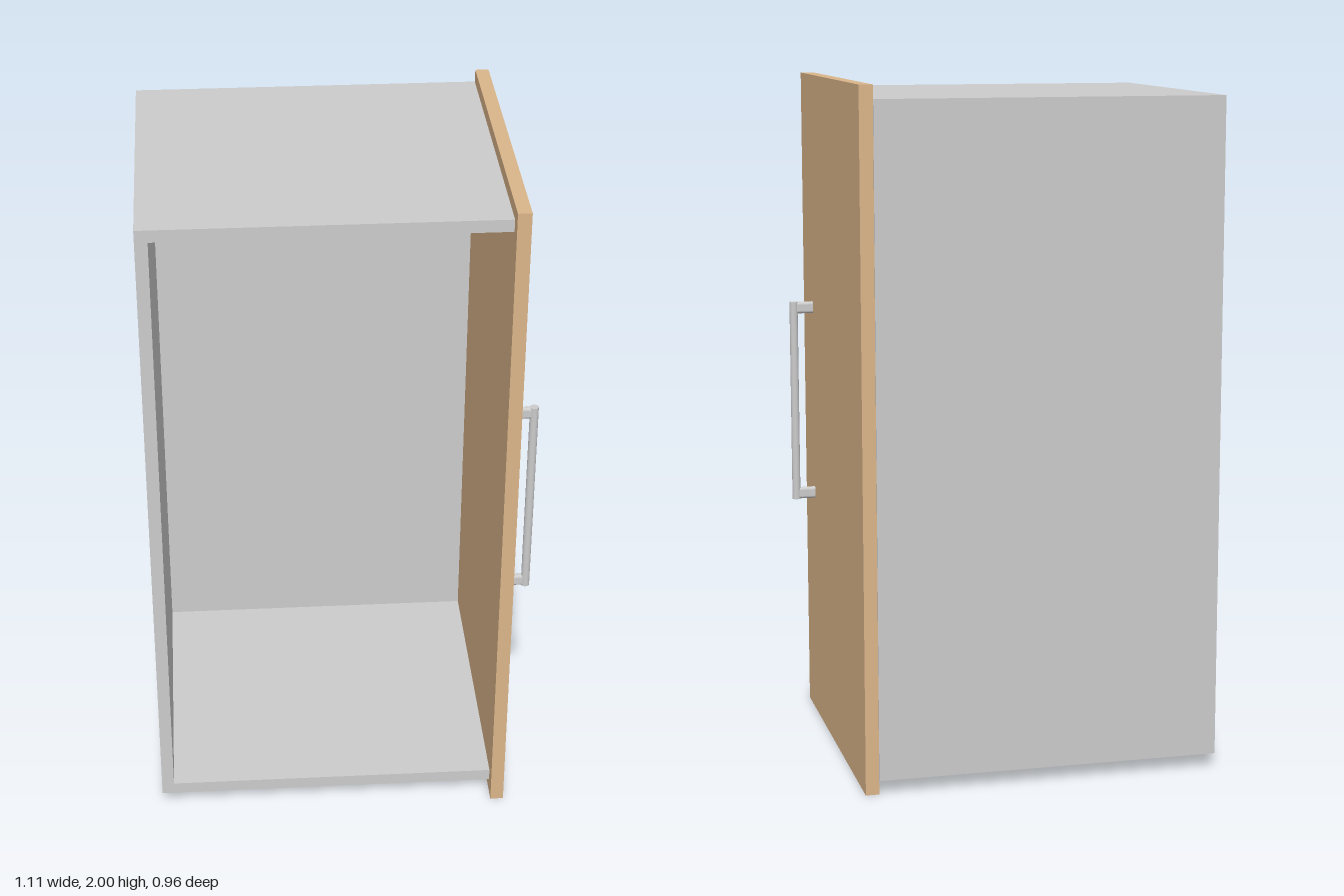
import * as THREE from 'three';

const grey = new THREE.MeshStandardMaterial({ color: 0xcccccc });
const wood = new THREE.MeshStandardMaterial({ color: 0xdbb68a });

// Box given by its minimum and maximum corners
function panel(name, [x0, y0, z0], [x1, y1, z1], material = grey) {
  const mesh = new THREE.Mesh(new THREE.BoxGeometry(x1 - x0, y1 - y0, z1 - z0), material);
  mesh.position.set((x0 + x1) / 2, (y0 + y1) / 2, (z0 + z1) / 2);
  mesh.name = name;
  return mesh;
}

// Handle post: an upright rounded slot section, extruded along +x
function postGeometry(width, height, length) {
  const r = width / 2, h = height / 2 - r;
  const shape = new THREE.Shape();
  shape.moveTo(r, -h);
  shape.lineTo(r, h);
  shape.absarc(0, h, r, 0, Math.PI, false);
  shape.lineTo(-r, -h);
  shape.absarc(0, -h, r, Math.PI, Math.PI * 2, false);
  return new THREE.ExtrudeGeometry(shape, { depth: length, bevelEnabled: false, curveSegments: 10 })
    .rotateY(Math.PI / 2);
}

export function createModel() {
  const model = new THREE.Group();
  model.name = 'cabinet';

  // Carcass, open at the front and behind the door
  const t = 0.036, backT = 0.032;
  const left = -0.557, right = 0.447, bottom = 0.041, top = 1.961, back = -0.478, front = 0.434;
  const carcass = new THREE.Group();
  carcass.name = 'carcass';
  carcass.add(
    panel('sideWall', [left, bottom, back], [left + t, top, front]),
    panel('floorPanel', [left + t, bottom, back], [right, bottom + t, front]),
    panel('topPanel', [left + t, top - t, back], [right, top, front]),
    panel('backPanel', [left + t, bottom + t, back], [right, top - t, back + backT])
  );
  model.add(carcass);

  // Door slab
  const doorFace = 0.486;
  model.add(panel('door', [right, 0, -0.474], [doorFace, 2, 0.478], wood));

  // Bar handle on two posts
  const handle = new THREE.Group();
  handle.name = 'handle';
  handle.position.set(doorFace, 1.003, 0.321);
  const barLength = 0.616, barRadius = 0.0125, barX = 0.0585, postHeight = 0.036;
  const bar = new THREE.Mesh(new THREE.CylinderGeometry(barRadius, barRadius, barLength, 24), grey);
  bar.name = 'handleBar';
  bar.position.x = barX;
  handle.add(bar);
  const postGeo = postGeometry(0.018, postHeight, barX);
  for (const side of [-1, 1]) {
    const post = new THREE.Mesh(postGeo, grey);
    post.name = side > 0 ? 'upperPost' : 'lowerPost';
    post.position.y = side * (barLength - postHeight) / 2;
    handle.add(post);
  }
  model.add(handle);

  return model;
}
